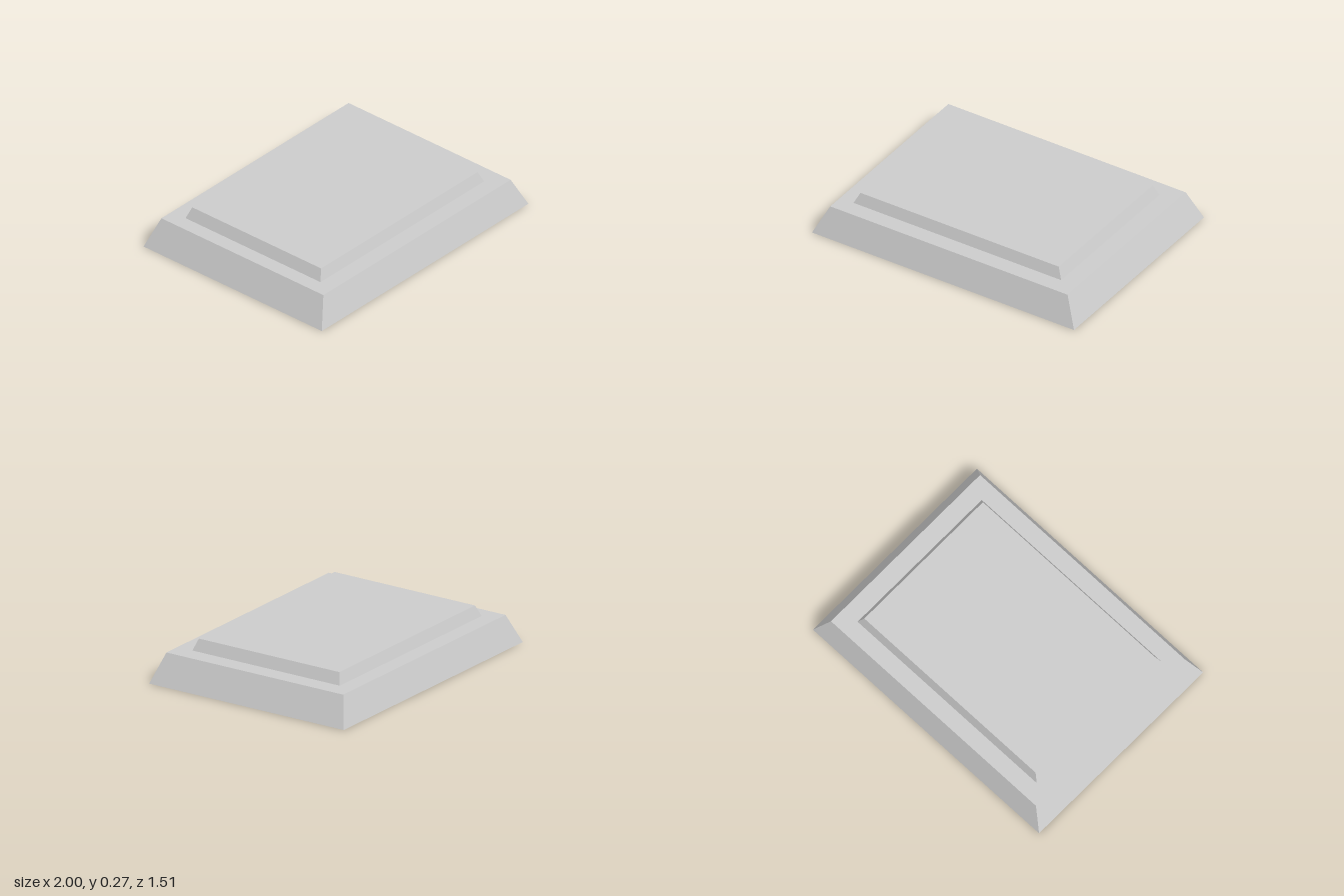
import * as THREE from 'three';

const material = new THREE.MeshStandardMaterial({ color: 0xcccccc, flatShading: true });

// Box whose top face is narrowed to give four sloping sides
function taperedSlab(name, [bottomX, bottomZ], [topX, topZ], y0, y1) {
  const geometry = new THREE.BoxGeometry(2, y1 - y0, 2);
  const pos = geometry.attributes.position;
  for (let i = 0; i < pos.count; i++) {
    const top = pos.getY(i) > 0;
    pos.setX(i, pos.getX(i) * (top ? topX : bottomX));
    pos.setZ(i, pos.getZ(i) * (top ? topZ : bottomZ));
  }
  geometry.computeVertexNormals();
  const mesh = new THREE.Mesh(geometry, material);
  mesh.name = name;
  mesh.position.y = (y0 + y1) / 2;
  return mesh;
}

export function createModel() {
  const group = new THREE.Group();
  group.name = 'steppedPlinth';

  // Wide lower step
  group.add(taperedSlab('lowerStep', [1, 0.757], [0.906, 0.688], 0, 0.198));

  // Raised upper step, set slightly off centre
  const upper = taperedSlab('upperStep', [0.792, 0.573], [0.757, 0.547], 0.198, 0.274);
  upper.position.x = -0.011;
  group.add(upper);

  return group;
}
